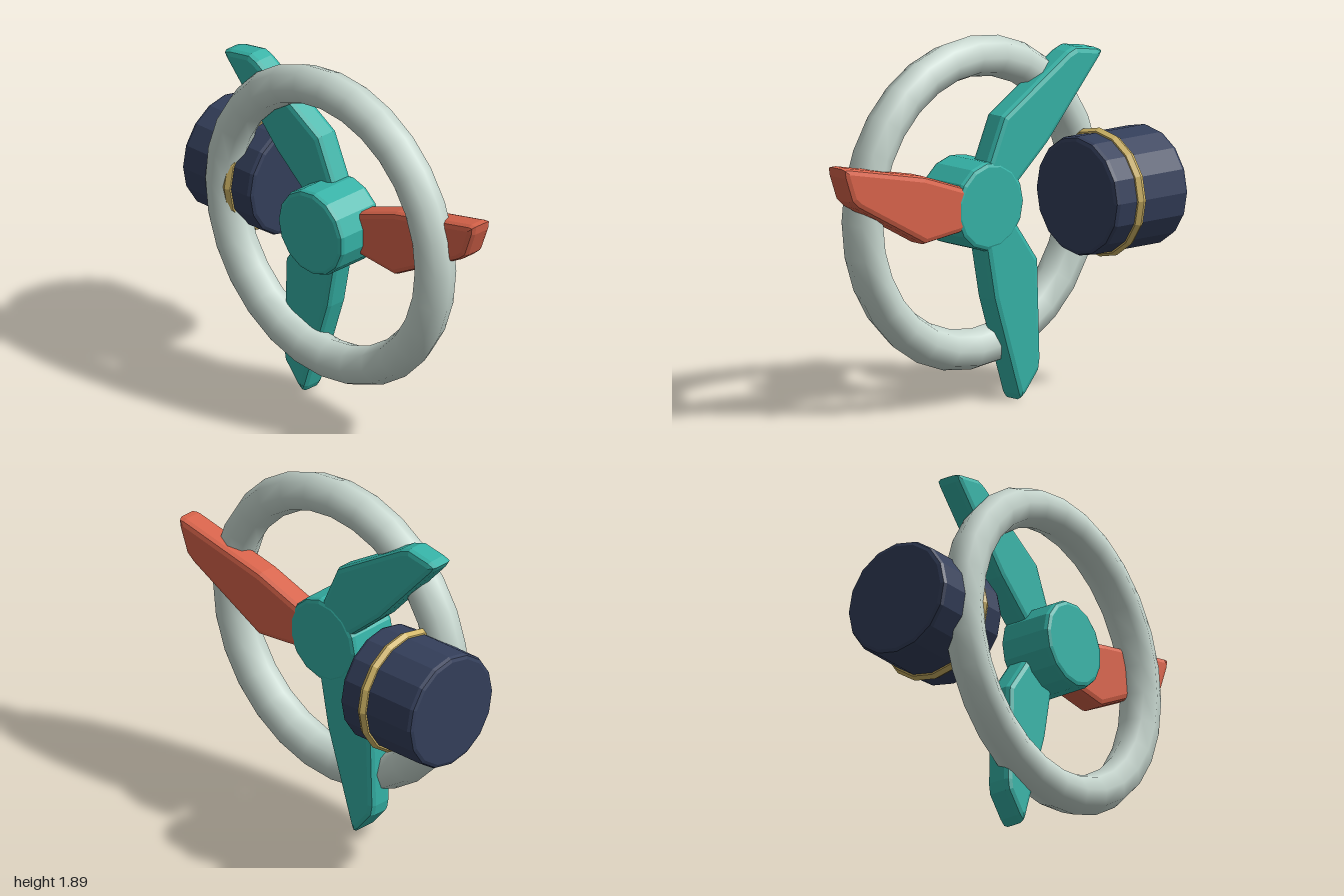
import * as THREE from 'three';

const mat = (name, color) => {
  const m = new THREE.MeshStandardMaterial({ color });
  m.name = name;
  return m;
};

// Faceted normals for low-poly parts
const facet = (geo) => {
  const g = geo.index ? geo.toNonIndexed() : geo;
  g.computeVertexNormals();
  return g;
};

// Closed drum along y with chamfered rims
const drum = (radius, y0, y1, bevel, sides) => facet(new THREE.LatheGeometry([
  [0, y0], [radius - bevel, y0], [radius - bevel * 0.3, y0 + bevel * 0.3], [radius, y0 + bevel],
  [radius, y1 - bevel], [radius - bevel * 0.3, y1 - bevel * 0.3], [radius - bevel, y1], [0, y1],
].map(([x, y]) => new THREE.Vector2(x, y)), sides));

export function createModel() {
  const teal = mat('teal', 0x35b3a7);
  const coral = mat('coral', 0xd9644b);
  const navy = mat('navy', 0x343f5b);
  const gold = mat('gold', 0xd0b566);
  const pale = mat('pale grey green', 0xc8d8d0);

  const model = new THREE.Group();
  const add = (name, geo, material, x, y, z) => {
    const mesh = new THREE.Mesh(geo, material);
    mesh.name = name;
    mesh.position.set(x, y, z);
    model.add(mesh);
    return mesh;
  };
  const cy = 1.04;

  // Guard ring
  const ring = add('guardRing', new THREE.TorusGeometry(0.757, 0.106, 8, 28), pale, 0, cy, 0.212);
  ring.scale.x = 0.986;

  // Three swept blades with chamfered edges
  const outline = [
    [0.03, 0.07], [0.18, 0.125], [0.44, 0.215], [0.965, 0.327], [1.0, 0.327],
    [0.994, 0.28], [0.945, 0.148], [0.9, 0.11], [0.44, -0.137], [0.2, -0.112], [0.03, -0.07],
  ].map(([x, y]) => new THREE.Vector2(x, y));
  const bevel = 0.03;
  const blade = new THREE.ExtrudeGeometry(new THREE.Shape(outline), {
    depth: 0.14 - 2 * bevel, bevelEnabled: true, bevelThickness: bevel,
    bevelSize: bevel, bevelOffset: -bevel, bevelSegments: 2,
  });
  ['leftBlade', 'upperBlade', 'lowerBlade'].forEach((name, i) => {
    add(name, blade, i ? teal : coral, 0, cy, 0.065 + bevel).rotation.z = i * Math.PI * 2 / 3;
  });

  // Hub
  const hub = drum(0.231, 0.062, 0.363, 0.025, 15);
  hub.rotateX(Math.PI / 2).rotateZ(-Math.PI / 2);
  add('hub', hub, teal, -0.005, cy, 0);

  // Side motor with a gold band
  const motor = drum(0.309, -1, -0.505, 0.025, 16);
  motor.rotateZ(-Math.PI / 2);
  add('motor', motor, navy, 0, 1.038, -0.027);
  const band = facet(new THREE.TorusGeometry(0.303, 0.03, 6, 16));
  band.rotateY(Math.PI / 2);
  add('motorBand', band, gold, -0.668, 1.038, -0.027);

  return model;
}
